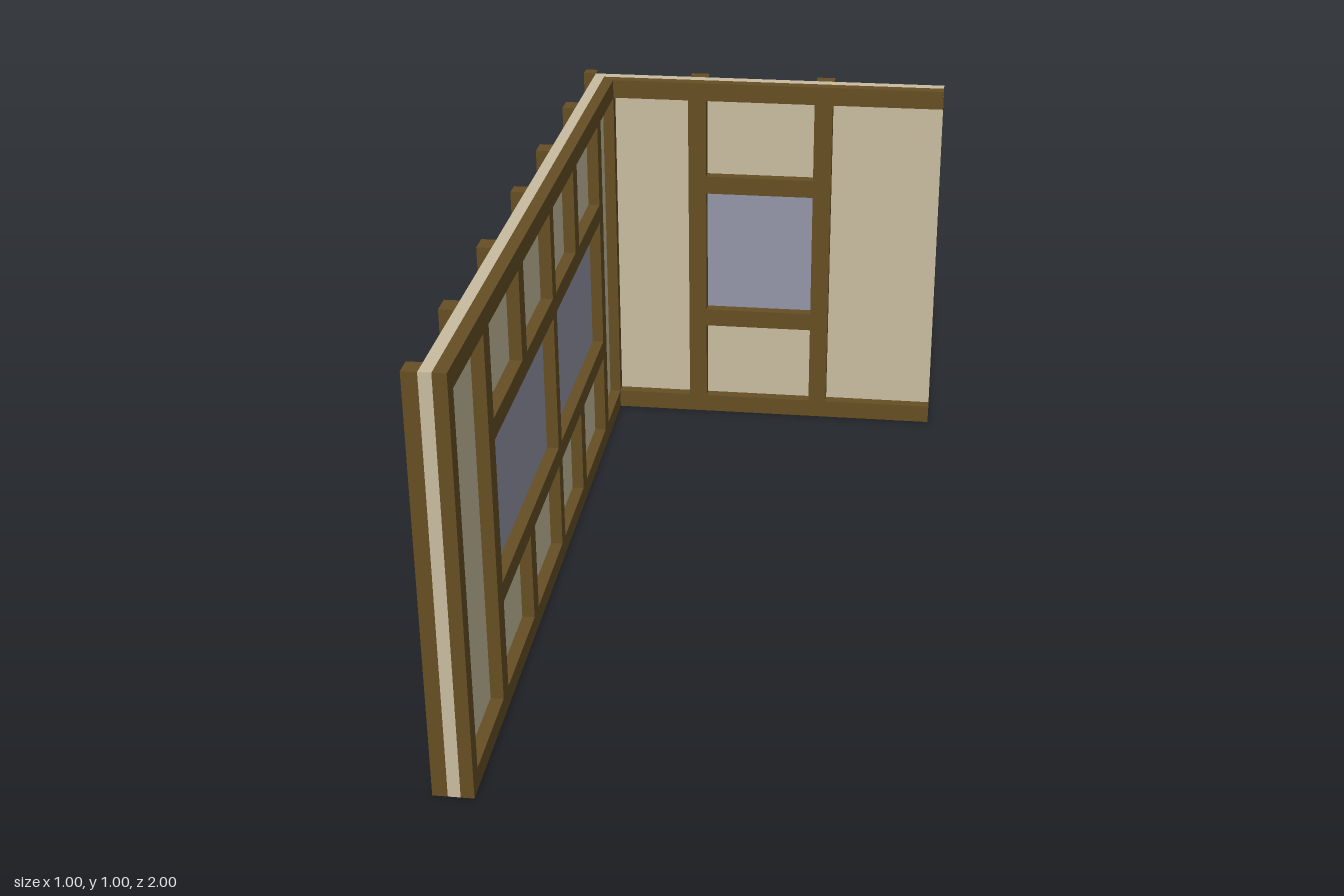
import * as THREE from 'three';

const wood = new THREE.MeshStandardMaterial({ color: 0x654f24 });
const plaster = new THREE.MeshStandardMaterial({ color: 0xc8bd9f });
const glass = new THREE.MeshStandardMaterial({ color: 0x9596a8 });

// Depth layers, measured inward from the outer face of each wall
const OUT = 0, PANEL_OUT = 0.034, PANEL_IN = 0.062, INNER = 0.092;
const RAILS = [[0.275, 0.325], [0.68, 0.73]];
const WINDOW_Y = [0.325, 0.68];

// A wall is laid out as (u along the wall, y up, d depth); map turns that into world x and z ranges
function makeWall(name, map) {
  const group = new THREE.Group();
  group.name = name;
  const box = (part, material, u, y, d) => {
    const { x, z } = map(u, d);
    const size = (r) => Math.abs(r[1] - r[0]), mid = (r) => (r[0] + r[1]) / 2;
    const mesh = new THREE.Mesh(new THREE.BoxGeometry(size(x), size(y), size(z)), material);
    mesh.position.set(mid(x), mid(y), mid(z));
    mesh.name = part;
    group.add(mesh);
  };
  return { group, box };
}

// Plaster sheet with window openings; extruded along its local z
function panel(u0, u1, windows) {
  const rect = (a, b, c, d, Type) => new Type([[a, c], [b, c], [b, d], [a, d]].map((p) => new THREE.Vector2(...p)));
  const shape = rect(u0, u1, 0, 1, THREE.Shape);
  for (const [a, b] of windows) shape.holes.push(rect(a, b, ...WINDOW_Y, THREE.Path));
  const depth = PANEL_IN - PANEL_OUT;
  const mesh = new THREE.Mesh(new THREE.ExtrudeGeometry(shape, { depth, bevelEnabled: false }), plaster);
  mesh.name = 'plasterPanel';
  return mesh;
}

function longWall() {
  const { group, box } = makeWall('longWall', (u, d) => ({ x: d.map((v) => v - 0.5), z: u }));
  const windows = [[-0.65, -0.04], [0, 0.65]];
  const outer = [OUT, PANEL_OUT], inner = [PANEL_IN, INNER];

  const sheet = panel(-1 + PANEL_IN, 1, windows);
  sheet.rotation.y = -Math.PI / 2;
  sheet.position.x = -0.5 + PANEL_IN;
  group.add(sheet);
  for (const w of windows) box('windowPane', glass, w, WINDOW_Y, [PANEL_OUT, PANEL_IN]);

  // Full-height posts, both faces
  const posts = [[-0.7, -0.65], [-0.04, 0], [0.65, 0.7]];
  for (const p of posts) {
    box('outerPost', wood, p, [0.05, 1], outer);
    box('innerPost', wood, p, [0.05, 0.95], inner);
  }
  box('outerEndPost', wood, [0.955, 1], [0.05, 1], outer);
  box('innerEndPost', wood, [0.96, 1], [0.05, 0.95], inner);
  box('innerCornerPost', wood, [-1 + PANEL_IN, -1 + INNER], [0.05, 0.95], inner);

  // Short studs above and below the windows
  for (const p of [[-0.35, -0.3], [0.305, 0.355]]) {
    box('outerLowerStud', wood, p, [0.05, 0.325], outer);
    box('outerUpperStud', wood, p, [0.68, 1], outer);
    box('innerLowerStud', wood, p, [0.05, 0.275], inner);
    box('innerUpperStud', wood, p, [0.73, 0.95], inner);
  }

  // Sill, head and window rails
  box('outerSill', wood, [-1 + PANEL_OUT, 1], [0, 0.05], outer);
  box('innerSill', wood, [-1 + PANEL_IN, 1], [0, 0.05], inner);
  box('innerHead', wood, [-1 + PANEL_IN, 1], [0.95, 1], inner);
  for (const y of RAILS) {
    for (const w of windows) {
      box('outerWindowRail', wood, w, y, [0.012, PANEL_OUT]);
      box('innerWindowRail', wood, w, y, inner);
    }
    box('outerSideRail', wood, [-1 + PANEL_OUT, -0.7], y, outer);
    box('outerSideRail', wood, [0.7, 0.955], y, outer);
  }
  return group;
}

function shortWall() {
  const { group, box } = makeWall('shortWall', (u, d) => ({ x: u, z: d.map((v) => v - 1) }));
  const opening = [-0.15, 0.15];
  const outer = [OUT, PANEL_OUT], inner = [PANEL_IN, INNER];

  const sheet = panel(-0.5 + PANEL_OUT, 0.5, [opening]);
  sheet.position.z = -1 + PANEL_OUT;
  group.add(sheet);
  box('windowPane', glass, opening, WINDOW_Y, [PANEL_OUT, PANEL_IN]);

  // Posts beside the window, both faces, and the outer corner post
  for (const p of [[-0.2, -0.15], [0.15, 0.2]]) {
    box('outerPost', wood, p, [0.05, 1], outer);
    box('innerPost', wood, p, [0.05, 0.95], inner);
  }
  box('outerCornerPost', wood, [-0.5, -0.5 + PANEL_OUT], [0, 1], outer);

  // Sill, head and window rails
  box('outerSill', wood, [-0.5 + PANEL_OUT, 0.5], [0, 0.05], outer);
  box('innerSill', wood, [-0.5 + INNER, 0.5], [0, 0.05], inner);
  box('innerHead', wood, [-0.5 + INNER, 0.5], [0.95, 1], inner);
  for (const y of RAILS) {
    box('outerWindowRail', wood, opening, y, [0.014, PANEL_OUT]);
    box('innerWindowRail', wood, opening, y, inner);
    box('outerSideRail', wood, [-0.5 + PANEL_OUT, -0.2], y, outer);
    box('outerSideRail', wood, [0.2, 0.5], y, outer);
  }
  return group;
}

export function createModel() {
  const model = new THREE.Group();
  model.name = 'timberCornerWall';
  model.add(longWall(), shortWall());
  return model;
}
